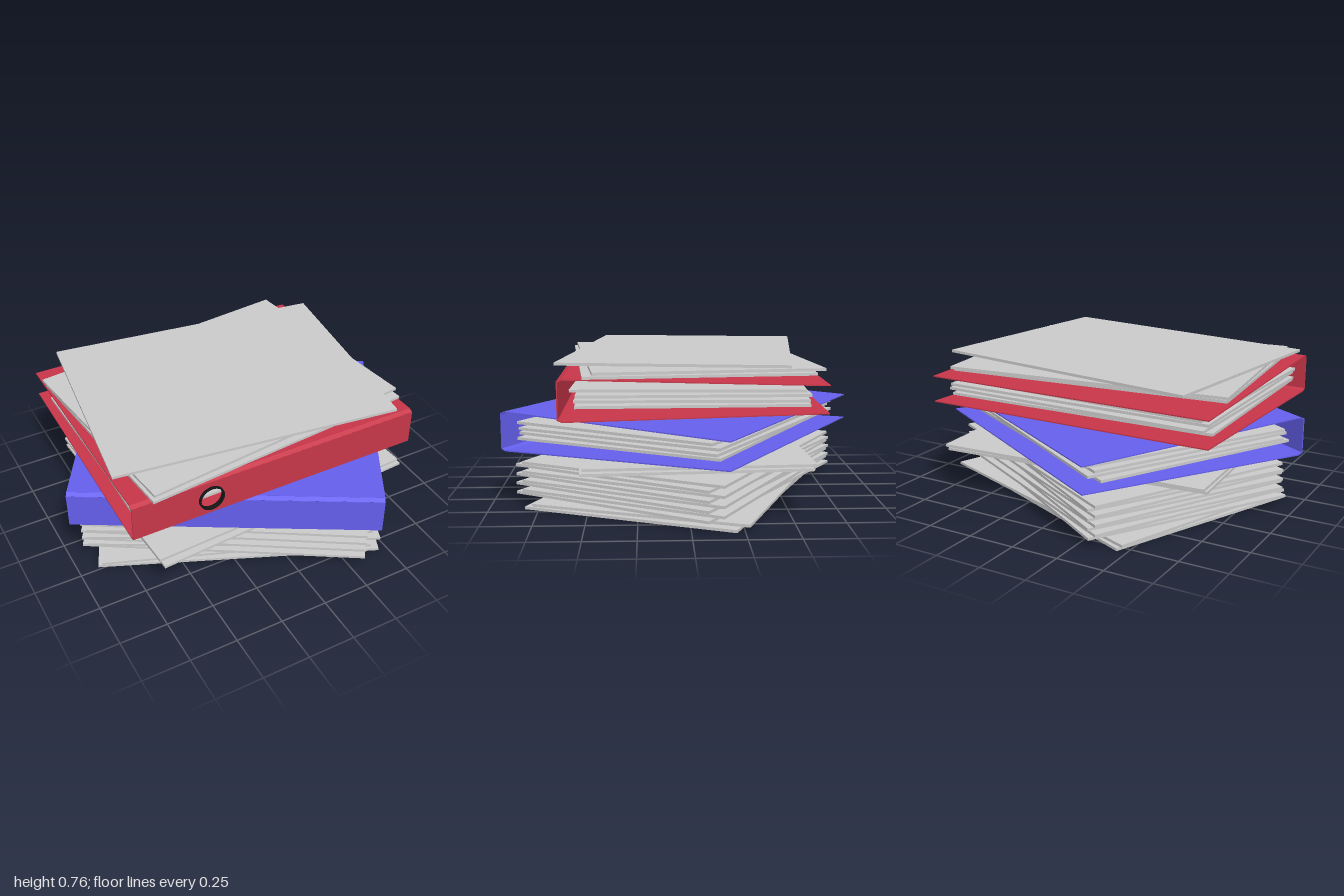
import * as THREE from 'three';

const paperMat = new THREE.MeshStandardMaterial({ color: 0xcccccc });
const redMat = new THREE.MeshStandardMaterial({ color: 0xc83649 });
const blueMat = new THREE.MeshStandardMaterial({ color: 0x6660ee });
const ringMat = new THREE.MeshStandardMaterial({ color: 0x151515 });

const WIDTH = 1.56, THICK = 0.006, HOLE_X = -0.375, HOLE_R = 0.06;
const paperGeo = new THREE.BoxGeometry(1.47, 0.014, 1.125);

function add(parent, name, geo, mat) {
  const mesh = new THREE.Mesh(geo, mat);
  mesh.name = name;
  parent.add(mesh);
  return mesh;
}

// One sheet of the stack: height, turn in degrees, centre
function sheet(parent, y, deg, x = 0, z = 0) {
  const m = add(parent, 'paperSheet', paperGeo, paperMat);
  m.position.set(x, y, z);
  m.rotation.y = THREE.MathUtils.degToRad(deg);
}

// Thin board spanning two points of the binder's side profile
function board(parent, name, mat, [z1, y1], [z2, y2]) {
  const dz = z2 - z1, dy = y2 - y1;
  const m = add(parent, name, new THREE.BoxGeometry(WIDTH, THICK, Math.hypot(dz, dy)), mat);
  m.position.set(0, (y1 + y2) / 2, (z1 + z2) / 2);
  m.rotation.x = -Math.atan2(dy, dz);
}

// Ring binder lying on its side, spine facing local +z
function binder(name, mat) {
  const g = new THREE.Group();
  g.name = name;

  // Covers taper towards the open edge and fold at a hinge strip
  for (const s of [1, -1]) {
    board(g, 'cover', mat, [-0.645, s * 0.067], [0.615, s * 0.1]);
    board(g, 'hinge', mat, [0.615, s * 0.1], [0.637, s * 0.09]);
  }

  // Spine with its finger hole
  const w = WIDTH / 2, h = 0.092;
  const shape = new THREE.Shape([
    new THREE.Vector2(-w, -h), new THREE.Vector2(w, -h),
    new THREE.Vector2(w, h), new THREE.Vector2(-w, h),
  ]);
  shape.holes.push(new THREE.Path().absarc(HOLE_X, 0, HOLE_R, 0, Math.PI * 2, true));
  const spine = add(g, 'spine', new THREE.ExtrudeGeometry(shape,
    { depth: THICK, bevelEnabled: false, curveSegments: 24 }), mat);
  spine.position.z = 0.634;

  // Rim around the finger hole
  const rim = new THREE.Shape().absarc(0, 0, 0.066, 0, Math.PI * 2, false);
  rim.holes.push(new THREE.Path().absarc(0, 0, 0.058, 0, Math.PI * 2, true));
  const ring = add(g, 'fingerRing', new THREE.ExtrudeGeometry(rim,
    { depth: 0.022, bevelEnabled: false, curveSegments: 24 }), ringMat);
  ring.position.set(HOLE_X, 0, 0.63);

  // Filed pages
  sheet(g, -0.036, 1.4, 0, 0.015);
  sheet(g, -0.012, -1, 0, -0.01);
  sheet(g, 0.013, 0.4, 0, 0);
  sheet(g, 0.038, -1.8, 0, 0);
  return g;
}

export function createModel() {
  const model = new THREE.Group();
  model.name = 'officeStack';

  // Loose papers at the bottom
  const loose = new THREE.Group();
  loose.name = 'loosePapers';
  model.add(loose);
  sheet(loose, 0.008, -23.5, 0, 0.012);
  sheet(loose, 0.032, -21, 0.005, -0.01);
  for (let i = 0; i < 8; i++) {
    if (i % 2) sheet(loose, 0.057 + i * 0.024, -28.7, 0.006, -0.008);
    else sheet(loose, 0.057 + i * 0.024, -32, -0.005, 0.01);
  }
  sheet(loose, 0.25, 4, 0.003, 0.012);
  sheet(loose, 0.272, 3.2, 0, -0.01);

  // Blue binder, turned
  const blue = binder('blueBinder', blueMat);
  blue.position.set(-0.005, 0.383, 0);
  blue.rotation.y = -Math.PI / 6;
  model.add(blue);

  // Red binder, square to the front
  const red = binder('redBinder', redMat);
  red.position.set(-0.06, 0.593, -0.015);
  model.add(red);

  // Papers on top
  const top = new THREE.Group();
  top.name = 'topPapers';
  model.add(top);
  sheet(top, 0.701, 5.5, -0.06, 0.015);
  sheet(top, 0.721, 6.7, -0.06, -0.015);
  sheet(top, 0.753, -7.4, -0.055, -0.008);
  return model;
}
